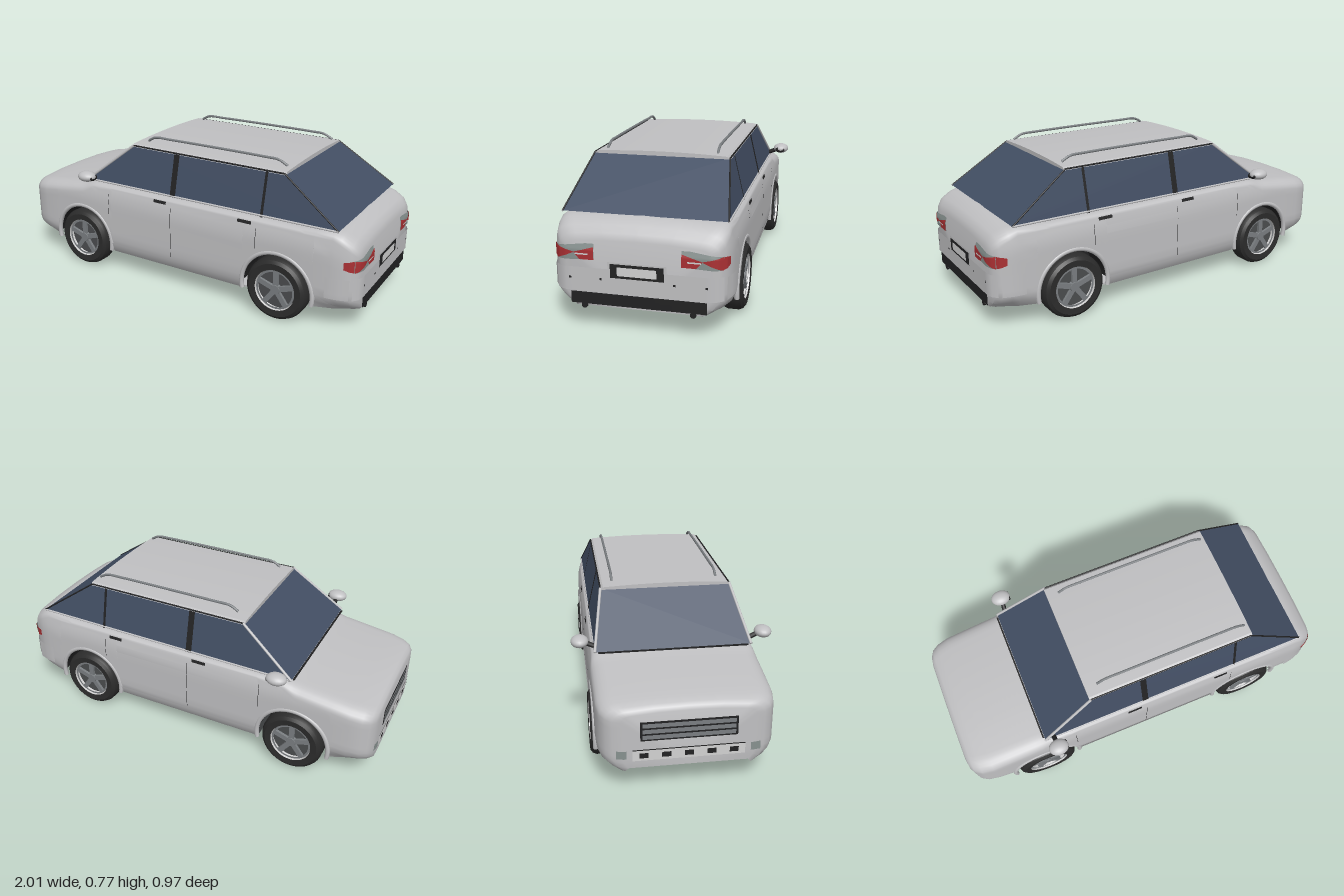
import * as THREE from 'three';
import { toCreasedNormals } from 'three/addons/utils/BufferGeometryUtils.js';

const mat = (name, color) => {
  const m = new THREE.MeshStandardMaterial({ color, side: THREE.DoubleSide });
  m.name = name;
  return m;
};

// Body stations along the car: x, half width, lower edge, top height, shoulder radius
const STATIONS = [
  [-1.0, 0.295, 0.14, 0.41, 0.03], [-0.993, 0.335, 0.122, 0.427, 0.045], [-0.975, 0.364, 0.114, 0.438, 0.05],
  [-0.94, 0.386, 0.11, 0.447, 0.055], [-0.88, 0.398, 0.11, 0.457, 0.055], [-0.6, 0.405, 0.11, 0.492, 0.05],
  [-0.54, 0.405, 0.11, 0.503, 0.03], [-0.4, 0.405, 0.11, 0.505, 0.022], [0.7, 0.405, 0.11, 0.508, 0.022],
  [0.86, 0.402, 0.11, 0.52, 0.035], [0.9, 0.396, 0.11, 0.512, 0.045], [0.95, 0.38, 0.11, 0.488, 0.05],
  [0.974, 0.355, 0.113, 0.46, 0.045], [0.984, 0.325, 0.12, 0.43, 0.035],
];
const WHEELS_X = [-0.605, 0.59], WHEEL_Y = 0.16, ARCH = 0.185;

function station(x) {
  let i = 1;
  while (i < STATIONS.length - 1 && x > STATIONS[i][0]) i++;
  const a = STATIONS[i - 1], b = STATIONS[i];
  const t = THREE.MathUtils.clamp((x - a[0]) / (b[0] - a[0]), 0, 1);
  return a.map((v, k) => v + (b[k] - v) * t);
}
// Half width of the body at a height: leans in at the belt, tucks under at both ends
function sideZ(x, y) {
  const tuck = 9 + 18 * THREE.MathUtils.smoothstep(Math.abs(x), 0.78, 0.95);
  return station(x)[1] * (1 - 4 * Math.max(0, y - 0.38) ** 2 - tuck * Math.max(0, 0.2 - y) ** 2);
}

function section(x) {
  let [, , low, top, r] = station(x);
  for (const c of WHEELS_X) {
    const d = Math.abs(x - c);
    if (d <= ARCH) low = WHEEL_Y + Math.sqrt(ARCH * ARCH - d * d);
  }
  const half = [], ys = top - r - 0.012, zs = sideZ(x, ys);
  for (let i = 0; i < 10; i++) {
    const y = low + (ys - low) * i / 9;
    half.push([x, y, sideZ(x, y)]);
  }
  for (let i = 1; i <= 6; i++) {
    const a = i / 6 * Math.PI / 2;
    half.push([x, ys + r * Math.sin(a), zs - 1.6 * r * (1 - Math.cos(a))]);
  }
  half.push([x, top - 0.003, zs * 0.45]);
  return [...half, [x, top, 0], ...half.slice().reverse().map(p => [p[0], p[1], -p[2]])];
}

// Skin stretched over a list of equal-length rows of points
function skin(rows) {
  const n = rows[0].length, index = [];
  for (let i = 0; i < rows.length - 1; i++) for (let j = 0; j < n - 1; j++) {
    const a = i * n + j, b = a + n;
    index.push(a, b, a + 1, a + 1, b, b + 1);
  }
  const g = new THREE.BufferGeometry();
  g.setAttribute('position', new THREE.Float32BufferAttribute(rows.flat(2), 3));
  g.setIndex(index);
  g.computeVertexNormals();
  return g;
}

// Four 2D corners, subdivided and wrapped on a surface by map(u, v)
function patch(c, map, n = 8) {
  const rows = [];
  for (let i = 0; i <= n; i++) {
    const row = [], s = i / n;
    for (let j = 0; j <= n; j++) {
      const t = j / n;
      const at = k => (c[0][k] * (1 - s) + c[1][k] * s) * (1 - t) + (c[3][k] * (1 - s) + c[2][k] * s) * t;
      row.push(map(at(0), at(1)));
    }
    rows.push(row);
  }
  return skin(rows);
}
const rect = (u0, u1, v0, v1) => [[u0, v0], [u1, v0], [u1, v1], [u0, v1]];

export function createModel() {
  const car = new THREE.Group();
  car.name = 'car';
  const paint = mat('silver paint', 0xc0c0c2), glass = mat('tinted glass', 0x424e63);
  const black = mat('black trim', 0x222223), rubber = mat('tyre rubber', 0x2c2c2c);
  const alloy = mat('alloy', 0x7a7e81), red = mat('red lamp', 0xaa3033);
  const lamp = mat('clear lamp', 0x87918f), dark = mat('wheel shadow', 0x4b4d4f);
  const pale = mat('pale metal', 0xd2d2d2);

  const add = (name, geo, m, pos = [0, 0, 0], parent = car) => {
    const mesh = new THREE.Mesh(geo, m);
    mesh.name = name;
    mesh.position.set(...pos);
    parent.add(mesh);
    return mesh;
  };
  const box = (name, m, x, y, z, sx, sy, sz) => add(name, new THREE.BoxGeometry(sx, sy, sz), m, [x, y, z]);
  const beam = (name, m, a, b, r) => {
    const p = new THREE.Vector3(...a), q = new THREE.Vector3(...b);
    const mesh = add(name, new THREE.CylinderGeometry(r, r, p.distanceTo(q), 10), m);
    mesh.position.copy(p).lerp(q, 0.5);
    mesh.quaternion.setFromUnitVectors(new THREE.Vector3(0, 1, 0), q.sub(p).normalize());
  };

  // Lower body shell with wheel arch cut-outs and closed ends
  const xs = STATIONS.map(s => s[0]).filter(x => WHEELS_X.every(c => Math.abs(x - c) > ARCH));
  for (const c of WHEELS_X) {
    xs.push(c - ARCH - 0.0005, c + ARCH + 0.0005);
    for (let i = 0; i <= 20; i++) xs.push(c - ARCH * Math.cos(i / 20 * Math.PI) * 0.9999);
  }
  xs.sort((a, b) => a - b);
  const rows = xs.map(section);
  const cap = row => row.map(p => [p[0], row[0][1], 0]);
  add('bodyShell', toCreasedNormals(skin([cap(rows[0]), ...rows, cap(rows[rows.length - 1])]), 0.7), paint);

  // Floor pan; the engine bay stays open underneath
  box('floorPan', paint, 0, 0.116, 0, 0.83, 0.01, 0.745);
  box('rearFloor', paint, 0.6, 0.116, 0, 0.38, 0.01, 0.51);
  box('tailFloor', paint, 0.875, 0.118, 0, 0.19, 0.01, 0.58);
  for (const x of [0.41, 0.79]) box('floorSeam', black, x, 0.114, 0, 0.018, 0.014, 0.6);
  box('firewall', dark, -0.415, 0.3, 0, 0.012, 0.36, 0.74);
  box('engineBrace', black, -0.6, 0.2, 0, 0.05, 0.03, 0.3);

  // Cabin: glass panes between the belt line and the roof
  const corner = (front, up, s) => up
    ? [front ? -0.295 : 0.58, 0.722, s * 0.325] : front ? [-0.575, 0.505, s * 0.376] : [0.88, 0.515, s * 0.376];
  const pane = (name, a, b, c, d) => add(name, skin([[a, b], [d, c]]), glass);
  for (const f of [true, false]) {
    pane(f ? 'windscreen' : 'rearWindow', corner(f, 0, -1), corner(f, 0, 1), corner(f, 1, 1), corner(f, 1, -1));
  }
  const roof = new THREE.Shape();
  roof.moveTo(-0.328, 0.716);
  roof.lineTo(-0.312, 0.729);
  roof.quadraticCurveTo(0, 0.748, 0.312, 0.729);
  roof.lineTo(0.328, 0.716);
  roof.closePath();
  const roofGeo = new THREE.ExtrudeGeometry(roof, { depth: 0.89, bevelEnabled: false, curveSegments: 16 });
  roofGeo.rotateY(Math.PI / 2);
  add('roof', toCreasedNormals(roofGeo, 0.5), paint, [-0.303, 0, 0]);
  box('cowlStrip', black, -0.581, 0.504, 0, 0.008, 0.006, 0.72);

  for (const s of [1, -1]) {
    pane('sideGlass', corner(1, 0, s), corner(0, 0, s), corner(0, 1, s), corner(1, 1, s));
    beam('frontPillar', paint, corner(1, 0, s), corner(1, 1, s), 0.007);
    beam('rearPillar', black, corner(0, 0, s), corner(0, 1, s), 0.004);
    beam('roofSeal', black, corner(1, 1, s), corner(0, 1, s), 0.004);
    beam('beltMoulding', paint, corner(1, 0, s), corner(0, 0, s), 0.005);

    // Door pillars lie on the sloping side glass
    const onGlass = (x, y) => [x, y, s * (0.38 - (y - 0.505) * 0.238)];
    add('middlePillar', patch(rect(-0.035, -0.003, 0.505, 0.718), onGlass, 1), black);
    add('thirdPillar', patch(rect(0.484, 0.498, 0.505, 0.718), onGlass, 1), black);

    // Seams, handles, sill and wrapped lamp follow the body side
    const onSide = off => (x, y) => [x, y, s * (sideZ(x, y) + off)];
    for (const [x, y0] of [[-0.42, 0.32], [-0.018, 0.18], [0.475, 0.35]]) {
      add('doorSeam', patch(rect(x - 0.0012, x + 0.0012, y0, 0.45), onSide(0.002)), black);
    }
    for (const x of [-0.085, 0.41]) {
      add('doorHandle', patch(rect(x - 0.038, x + 0.038, 0.465, 0.48), onSide(0.007)), black);
    }
    add('sill', patch(rect(-0.41, 0.4, 0.112, 0.17), onSide(0.005)), paint);
    add('bumperSide', patch(rect(0.84, 0.95, 0.19, 0.295), onSide(0.006)), paint);
    add('tailLampSide', patch([[0.92, 0.345], [0.966, 0.33], [0.966, 0.39], [0.92, 0.38]], onSide(0.004)), red);

    // Roof rail
    const rail = new THREE.CatmullRomCurve3([[-0.24, 0.742], [-0.2, 0.764], [-0.1, 0.767], [0.45, 0.767], [0.52, 0.764], [0.565, 0.742]]
      .map(([x, y]) => new THREE.Vector3(x, y, s * 0.265)));
    add('roofRail', new THREE.TubeGeometry(rail, 40, 0.0065, 8), alloy);

    // Door mirror
    add('mirrorShell', new THREE.SphereGeometry(1, 20, 14).scale(0.052, 0.028, 0.042), paint, [-0.525, 0.546, s * 0.444]);
    add('mirrorFace', new THREE.SphereGeometry(1, 16, 10).scale(0.008, 0.016, 0.027), black, [-0.483, 0.543, s * 0.442]);
    beam('mirrorArm', black, [-0.53, 0.515, s * 0.365], [-0.525, 0.538, s * 0.42], 0.012);

    // Wheels, wells and arch lips
    for (const x of WHEELS_X) {
      add('archLip', new THREE.TorusGeometry(ARCH + 0.004, 0.012, 8, 36, Math.PI + 0.4).rotateZ(-0.2), paint, [x, WHEEL_Y, s * 0.398]);
      add('wheelWell', new THREE.CylinderGeometry(ARCH, ARCH, 0.15, 28, 1, true, Math.PI / 2, Math.PI).rotateX(Math.PI / 2), black, [x, WHEEL_Y, s * 0.325]);
      add('wellWall', new THREE.CircleGeometry(ARCH, 28, 0, Math.PI), black, [x, WHEEL_Y, s * 0.252]);
      const wheel = new THREE.Group();
      wheel.name = 'wheel';
      wheel.position.set(x, WHEEL_Y, s * 0.365);
      if (s < 0) wheel.rotation.y = Math.PI;
      car.add(wheel);
      const profile = [[0.106, -0.05], [0.138, -0.053], [0.153, -0.042], [0.16, -0.026], [0.16, 0.026], [0.153, 0.042], [0.138, 0.053], [0.106, 0.05]];
      const tyre = new THREE.LatheGeometry(profile.map(p => new THREE.Vector2(...p)), 40).rotateX(Math.PI / 2);
      add('tyre', toCreasedNormals(tyre, 0.5), rubber, [0, 0, 0], wheel);
      add('wheelDisc', new THREE.CylinderGeometry(0.104, 0.104, 0.06, 32).rotateX(Math.PI / 2), dark, [0, 0, -0.01], wheel);
      add('rimBarrel', new THREE.CylinderGeometry(0.106, 0.1, 0.05, 40, 1, true).rotateX(Math.PI / 2), pale, [0, 0, 0.025], wheel);
      add('rimRing', new THREE.RingGeometry(0.092, 0.102, 40), alloy, [0, 0, 0.042], wheel);
      add('hub', new THREE.CylinderGeometry(0.024, 0.028, 0.02, 16).rotateX(Math.PI / 2), alloy, [0, 0, 0.035], wheel);
      for (let i = 0; i < 5; i++) {
        const spoke = new THREE.BoxGeometry(0.026, 0.08, 0.014).translate(0, 0.056, 0).rotateZ(i * Math.PI * 0.4);
        add('spoke', spoke, alloy, [0, 0, 0.034], wheel);
      }
    }
  }

  // Tail details wrap around the rear corners
  const onTail = off => (z, y) => {
    const a = Math.abs(z);
    const x = 0.985 - 0.33 * Math.max(0, Math.min(a, 0.355) - 0.325) - 0.96 * Math.max(0, a - 0.355);
    return [x - 0.25 * Math.max(0, y - 0.38) + off, y, z];
  };
  add('rearBumper', patch(rect(-0.375, 0.375, 0.19, 0.3), onTail(0.008), 30), paint);
  add('rearGrille', patch(rect(-0.305, 0.305, 0.13, 0.185), onTail(0.006)), black);
  add('plateRecess', patch(rect(-0.132, 0.132, 0.256, 0.334), onTail(0.01)), paint);
  add('plateFrame', patch(rect(-0.12, 0.12, 0.264, 0.328), onTail(0.013)), black);
  add('rearPlate', patch(rect(-0.088, 0.088, 0.276, 0.316), onTail(0.016)), pale);
  for (const z of [-0.165, 0.165, 0.305, -0.305]) {
    add('parkingSensor', patch(rect(z - 0.005, z + 0.005, 0.247, 0.257), onTail(0.01), 1), black);
  }
  for (const s of [1, -1]) {
    const lens = (name, m, pts, off) => add(name, patch(pts.map(([z, y]) => [s * z, y]), onTail(off), 14), m);
    lens('tailLampBase', lamp, [[0.195, 0.337], [0.372, 0.33], [0.372, 0.39], [0.195, 0.413]], 0.006);
    lens('tailLampInner', red, [[0.195, 0.337], [0.285, 0.367], [0.285, 0.369], [0.195, 0.395]], 0.009);
    lens('tailLampLower', red, [[0.195, 0.337], [0.26, 0.337], [0.285, 0.367], [0.23, 0.367]], 0.0095);
    lens('tailLampOuter', red, [[0.285, 0.367], [0.372, 0.33], [0.372, 0.39], [0.285, 0.369]], 0.009);
    lens('tailLampBar', pale, rect(0.22, 0.28, 0.359, 0.366), 0.012);
    beam('exhaust', black, [0.9, 0.121, s * 0.245], [0.99, 0.121, s * 0.245], 0.014);
  }

  // Nose: grille with bars, lower intake and fog lamps
  const onNose = off => (z, y) => [-1 - off + 0.18 * Math.max(0, Math.abs(z) - 0.285), y, z];
  add('grilleFrame', patch(rect(-0.215, 0.215, 0.272, 0.365), onNose(0.002)), black);
  for (let i = 0; i < 3; i++) {
    add('grilleBar', patch(rect(-0.205, 0.205, 0.28 + i * 0.028, 0.3 + i * 0.028), onNose(0.004)), alloy);
  }
  add('lowerIntake', patch(rect(-0.25, 0.25, 0.175, 0.225), onNose(0.002)), pale);
  add('intakeEdge', patch(rect(-0.25, 0.25, 0.225, 0.23), onNose(0.002)), black);
  for (let i = -2; i <= 2; i++) {
    add('intakeSlot', patch(rect(i * 0.1 - 0.02, i * 0.1 + 0.02, 0.188, 0.213), onNose(0.004)), black);
  }
  for (const s of [1, -1]) {
    add('fogLamp', patch(rect(s * 0.275, s * 0.32, 0.188, 0.228), onNose(0.004)), lamp);
  }
  return car;
}
